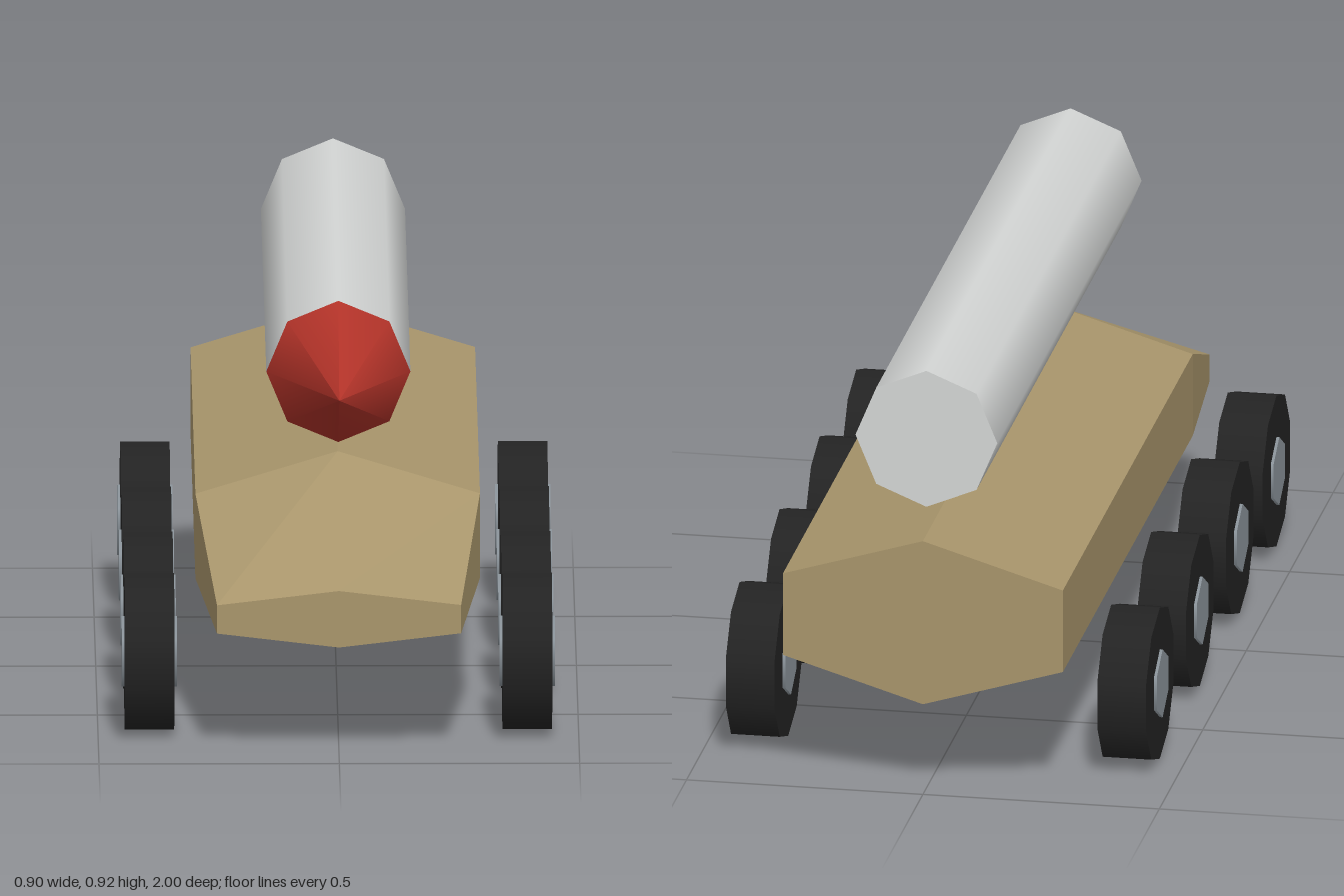
import * as THREE from 'three';

const mat = (name, color) => {
  const m = new THREE.MeshStandardMaterial({ color });
  m.name = name;
  return m;
};

// Hexagonal hull section, counter-clockwise seen from the front
const section = (z, w, top, shoulder, sill, keel) => [
  [0, top, z], [-w, shoulder, z], [-w, sill, z],
  [0, keel, z], [w, sill, z], [w, shoulder, z],
];

// Flat-faced solid through a row of sections, ordered back to front
function loft(sections) {
  const pos = [];
  const tri = (a, b, c) => pos.push(...a, ...b, ...c);
  const n = sections[0].length;
  for (let i = 0; i < sections.length - 1; i++) {
    const back = sections[i], front = sections[i + 1];
    for (let j = 0; j < n; j++) {
      const k = (j + 1) % n;
      tri(back[j], back[k], front[k]);
      tri(back[j], front[k], front[j]);
    }
  }
  const first = sections[0], last = sections[sections.length - 1];
  for (let j = 1; j < n - 1; j++) {
    tri(first[0], first[j + 1], first[j]);
    tri(last[0], last[j], last[j + 1]);
  }
  const g = new THREE.BufferGeometry();
  g.setAttribute('position', new THREE.Float32BufferAttribute(pos, 3));
  g.computeVertexNormals();
  return g;
}

export function createModel() {
  const model = new THREE.Group();
  model.name = 'missileCarrier';
  const tan = mat('tan', 0xa8956b);
  const grey = mat('light grey', 0xd4d6d5);
  const red = mat('red', 0xb03228);
  const black = mat('tyre black', 0x232323);
  const steel = mat('hub steel', 0x8c959c);

  const add = (parent, name, geometry, material, x = 0, y = 0, z = 0) => {
    const mesh = new THREE.Mesh(geometry, material);
    mesh.name = name;
    mesh.position.set(x, y, z);
    parent.add(mesh);
    return mesh;
  };

  // Hull with a tapering nose
  add(model, 'hull', loft([
    section(-1, 0.296, 0.56, 0.47, 0.29, 0.2),
    section(0.495, 0.296, 0.56, 0.47, 0.29, 0.2),
    section(0.915, 0.254, 0.35, 0.32, 0.26, 0.23),
  ]), tan);

  // Missile: eight-sided tube and pointed tip
  const missile = new THREE.Group();
  missile.name = 'missile';
  missile.position.y = 0.772;
  model.add(missile);
  const tube = new THREE.CylinderGeometry(0.15, 0.15, 1.66, 8).rotateX(Math.PI / 2);
  const cone = new THREE.ConeGeometry(0.15, 0.3, 8).rotateX(Math.PI / 2);
  add(missile, 'missileBody', tube, grey, 0, 0, -0.13);
  add(missile, 'missileTip', cone, red, 0, 0, 0.85);

  // Four wheels on each side, hubs standing out on both faces
  const disc = (r, width, sides) => new THREE.CylinderGeometry(
    r, r, width, sides, 1, false, Math.PI / 2).rotateZ(Math.PI / 2);
  const tyre = disc(0.1665, 0.103, 10);
  const hub = disc(0.075, 0.115, 6);
  for (const side of [-1, 1]) {
    [0.65, 0.228, -0.232, -0.692].forEach((z, i) => {
      const wheel = new THREE.Group();
      wheel.name = (side > 0 ? 'leftWheel' : 'rightWheel') + (i + 1);
      wheel.position.set(side * 0.393, 0.1675, z);
      add(wheel, 'tyre', tyre, black);
      add(wheel, 'hub', hub, steel);
      model.add(wheel);
    });
  }
  return model;
}
